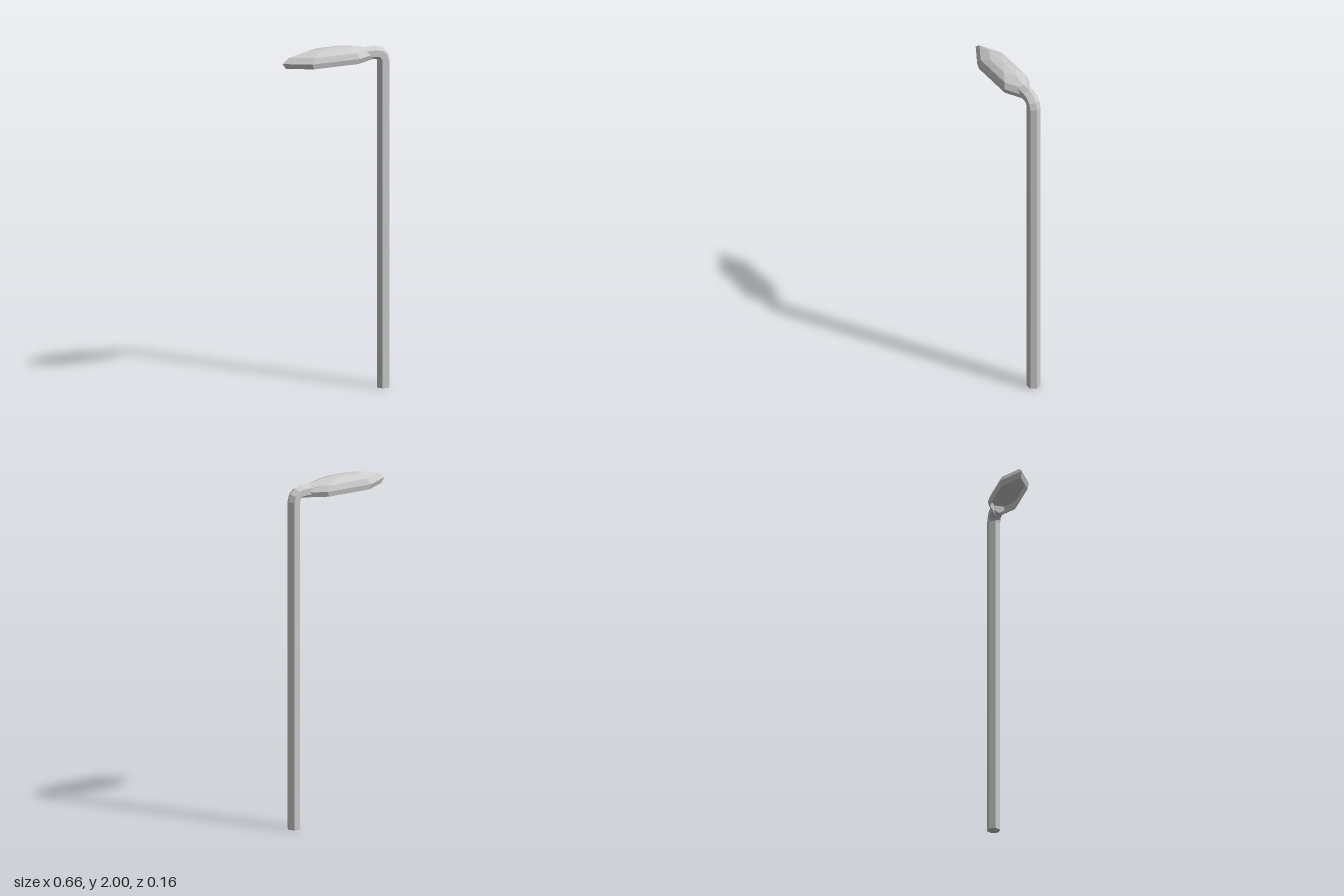
import * as THREE from 'three';

const material = new THREE.MeshStandardMaterial({ color: 0xcccccc, flatShading: true });

function facetedMesh(name, geometry) {
  const flat = geometry.toNonIndexed();
  flat.computeVertexNormals();
  const mesh = new THREE.Mesh(flat, material);
  mesh.name = name;
  return mesh;
}

// Six-sided post that bends over into a short horizontal arm
function createPost() {
  const bendX = 0.24, bendY = 1.89, bendRadius = 0.05, armEndX = 0.17;
  const stations = [{ x: bendX + bendRadius, y: 0, a: 0 }];
  for (let i = 0; i <= 3; i++) {
    const a = (i / 3) * Math.PI / 2;
    stations.push({ x: bendX + bendRadius * Math.cos(a), y: bendY + bendRadius * Math.sin(a), a });
  }
  stations.push({ x: armEndX, y: bendY + bendRadius, a: Math.PI / 2 });

  // Carry each ring of a straight cylinder to its station on the path
  const rows = stations.length - 1;
  const geometry = new THREE.CylinderGeometry(0.038, 0.038, rows, 6, rows, false, Math.PI / 6);
  const p = geometry.attributes.position;
  for (let i = 0; i < p.count; i++) {
    const s = stations[Math.round(p.getY(i) + rows / 2)];
    const out = p.getX(i);
    p.setXY(i, s.x + out * Math.cos(s.a), s.y + out * Math.sin(s.a));
  }
  return facetedMesh('post', geometry);
}

// Stretched six-sided dome with a tapered skirt and a recessed underside
function createLampHead() {
  const radius = 0.295, rimY = 1.935, domeHeight = 0.065;
  const profile = [[0, 1.945], [0.87, 1.945], [0.89, 1.905], [0.93, 1.905]]
    .map(([r, y]) => new THREE.Vector2(r * radius, y));
  for (let i = 0; i <= 3; i++) {
    const a = (i / 3) * Math.PI / 2;
    profile.push(new THREE.Vector2(i === 3 ? 0 : radius * Math.cos(a), rimY + domeHeight * Math.sin(a)));
  }
  const geometry = new THREE.LatheGeometry(profile, 6, Math.PI / 6);
  geometry.scale(1, 1, 0.315);
  geometry.translate(-0.034, 0, 0);
  return facetedMesh('lampHead', geometry);
}

export function createModel() {
  const model = new THREE.Group();
  model.name = 'streetLamp';
  model.add(createPost(), createLampHead());
  return model;
}
